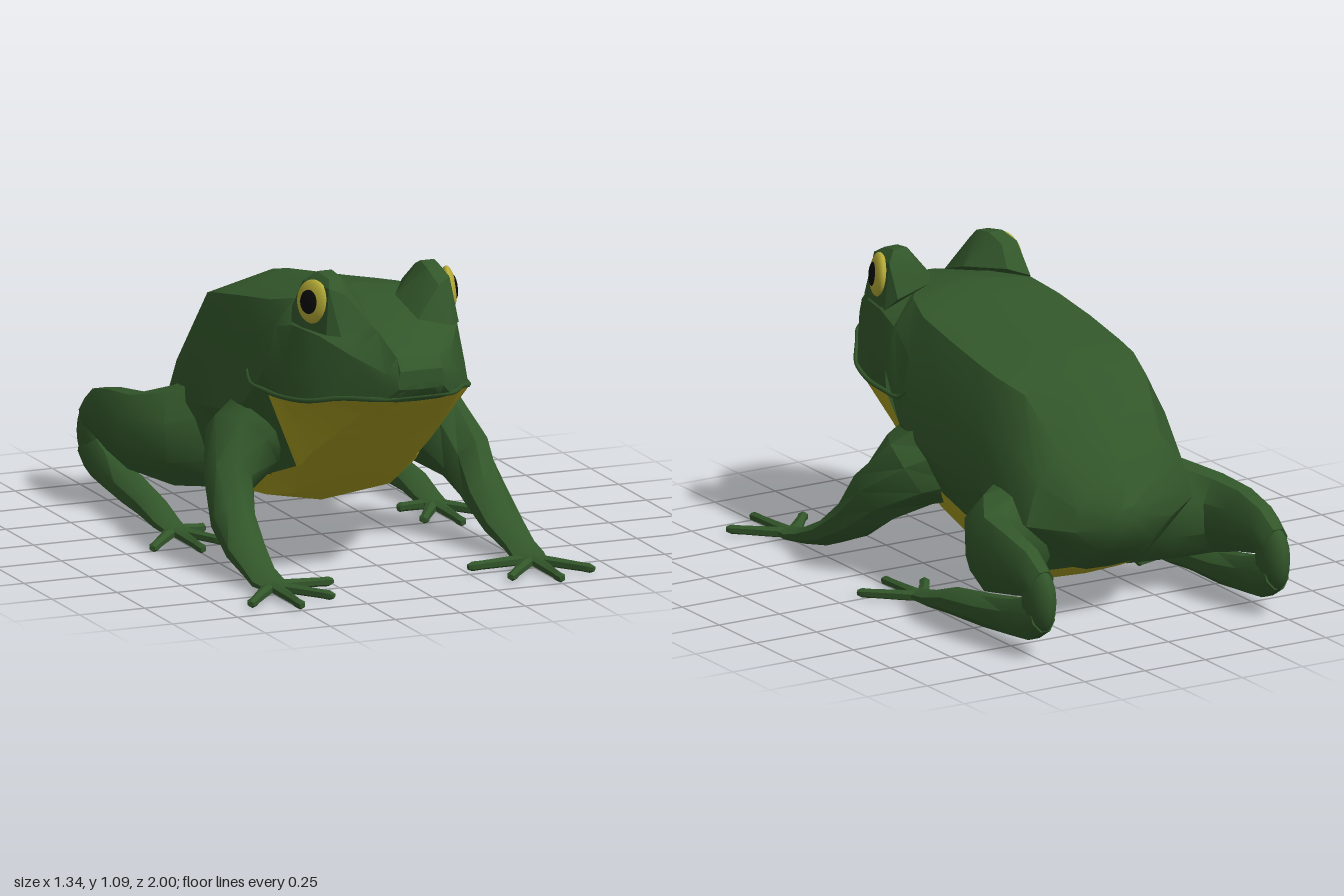
import * as THREE from 'three';
import { toCreasedNormals } from 'three/addons/utils/BufferGeometryUtils.js';
import { ConvexGeometry } from 'three/addons/geometries/ConvexGeometry.js';

const mat = (name, color) => {
  const m = new THREE.MeshStandardMaterial({ color });
  m.name = name;
  return m;
};

// Skin closed rings of points; isSecond(i, j) sends a quad to the second material
function skin(rings, crease, isSecond = () => false) {
  const lists = [[], []];
  const tri = (k, ...pts) => pts.forEach(p => lists[k].push(p.x, p.y, p.z));
  const n = rings[0].length;
  for (let i = 0; i < rings.length - 1; i++) {
    for (let j = 0; j < n; j++) {
      const q = (j + 1) % n, k = isSecond(i, j) ? 1 : 0;
      tri(k, rings[i][j], rings[i][q], rings[i + 1][q]);
      tri(k, rings[i][j], rings[i + 1][q], rings[i + 1][j]);
    }
  }
  for (const end of [0, rings.length - 1]) {
    const r = rings[end];
    const c = r.reduce((a, p) => a.add(p), new THREE.Vector3()).divideScalar(n);
    for (let j = 0; j < n; j++) {
      const q = (j + 1) % n;
      if (end === 0) tri(0, c, r[q], r[j]);
      else tri(0, c, r[j], r[q]);
    }
  }
  const g = new THREE.BufferGeometry();
  g.setAttribute('position', new THREE.Float32BufferAttribute(lists[0].concat(lists[1]), 3));
  g.addGroup(0, lists[0].length / 3, 0);
  if (lists[1].length) g.addGroup(lists[0].length / 3, lists[1].length / 3, 1);
  return toCreasedNormals(g, crease);
}

// Limb along stations [x, y, z, half width, half height]; s mirrors it
function limb(stations, s, sides = 8) {
  const c = stations.map(p => new THREE.Vector3(p[0] * s, p[1], p[2]));
  const up = new THREE.Vector3(0, 1, 0);
  const rings = stations.map((p, i) => {
    const t = c[Math.min(i + 1, c.length - 1)].clone().sub(c[Math.max(i - 1, 0)]).normalize();
    const side = up.clone().cross(t).normalize();
    const nor = t.clone().cross(side);
    return Array.from({ length: sides }, (_, j) => {
      const a = ((j + 0.5) / sides) * Math.PI * 2;
      return c[i].clone().addScaledVector(side, Math.cos(a) * p[3] * 1.05)
        .addScaledVector(nor, Math.sin(a) * p[4] * 1.05);
    });
  });
  return skin(rings, 0.8);
}

// Body section; the back ridge and (unless given) the underside fold follow from the other points
function bodyRing([z, top, ridgeX, sideX, sideY, flankX, flankY, edgeX, edgeY, bottom,
  foldX = edgeX * 0.64, foldY = THREE.MathUtils.lerp(bottom, edgeY, 0.18)]) {
  const ridgeY = THREE.MathUtils.lerp(top, sideY, z > 0.4 ? 0.05 : 0.28);
  const half = [[ridgeX, ridgeY], [sideX, sideY], [flankX, flankY], [edgeX, edgeY], [foldX, foldY]];
  const at = (x, y) => new THREE.Vector3(x, y, z);
  return [at(0, top), ...half.map(([x, y]) => at(x, y)),
    at(0, bottom), ...half.map(([x, y]) => at(-x, y)).reverse()];
}

export function createModel() {
  const model = new THREE.Group();
  model.name = 'frog';
  const green = mat('skin green', 0x32562a);
  const yellow = mat('belly yellow', 0xa89d22);
  const iris = mat('iris yellow', 0xb4aa36);
  const black = mat('pupil black', 0x0a0a0a);
  const add = (parent, name, geo, material) => {
    const m = new THREE.Mesh(geo, material);
    m.name = name;
    parent.add(m);
    return m;
  };

  // Head: snout to jaw corner, then trunk: shoulder to rump
  const head = [
    [.90, .81, .08, .085, .79, .09, .765, .085, .745, .74],
    [.868, .855, .08, .125, .80, .135, .75, .13, .70, .69],
    [.72, .92, .09, .195, .84, .225, .74, .235, .68, .61],
    [.60, .945, .10, .265, .89, .295, .74, .31, .65, .50],
    [.45, .975, .15, .305, .90, .34, .74, .35, .637, .385],
    [.335, 1.0, .24, .32, .87, .355, .72, .352, .635, .29],
  ];
  const trunk = [
    [.325, 1.0, .245, .32, .87, .358, .71, .235, .35, .285, .222, .343],
    [.20, .985, .28, .34, .80, .385, .57, .28, .30, .20],
    [0, .955, .29, .35, .76, .40, .50, .33, .35, .13],
    [-.20, .92, .29, .35, .72, .385, .47, .32, .29, .11],
    [-.30, .905, .285, .345, .69, .37, .45, .28, .145, .10],
    [-.44, .87, .25, .33, .65, .36, .42, .23, .15, .11],
    [-.60, .68, .21, .30, .53, .345, .38, .15, .20, .18],
    [-.70, .53, .13, .20, .45, .20, .36, .12, .29, .26],
    [-.755, .44, .04, .06, .41, .06, .39, .04, .36, .35],
  ];
  const rings = [...head.map(bodyRing), ...trunk.map(bodyRing)];
  add(model, 'body', skin(rings, 0.55, (i, j) => i >= 1 && i < 12 && j >= 4 && j <= 7), [green, yellow]);

  // Upper lip, running around the snout and turning up at the corners
  const lipHalf = [[.36, .68, .18], [.368, .647, .22], [.362, .642, .335], [.352, .645, .45],
    [.31, .658, .60], [.235, .688, .72], [.13, .706, .865], [.07, .708, .872]];
  const lipPts = [...lipHalf, ...lipHalf.map(([x, y, z]) => [-x, y, z]).reverse()];
  const lipCurve = new THREE.CatmullRomCurve3(lipPts.map(p => new THREE.Vector3(...p)), false, 'centripetal');
  add(model, 'upperLip', new THREE.TubeGeometry(lipCurve, 60, 0.009, 5), green);

  const mirrored = (s, pts) => pts.map(p => new THREE.Vector3(p[0] * s, p[1], p[2]));
  for (const s of [1, -1]) {
    const label = s > 0 ? 'left' : 'right';

    // Brow hump that holds the eye
    add(model, label + 'Brow', toCreasedNormals(new ConvexGeometry(mirrored(s, [
      [.17, 1.098, .49], [.225, 1.098, .49], [.165, 1.088, .565], [.215, 1.085, .57],
      [.07, .985, .50], [.09, .93, .66], [.215, .90, .68], [.255, .90, .64],
      [.30, .90, .43], [.265, 1.06, .455], [.232, 1.06, .61], [.18, 1.04, .635],
      [.16, 1.0, .35], [.18, 1.07, .42], [.275, .95, .38],
    ])), 0.4), green);

    // Eye: domed iris and pupil, turned slightly forward
    const eye = new THREE.Group();
    eye.name = label + 'Eye';
    eye.position.set(s * .258, 1.0, .535);
    eye.rotation.set(0, -s * .33, s * .12);
    const dome = (name, r, thick, x, material) => {
      const m = add(eye, name, new THREE.SphereGeometry(r, 20, 14), material);
      m.scale.x = thick / r;
      m.position.x = s * x;
    };
    dome('iris', .079, .027, .003, iris);
    dome('pupil', .044, .012, .023, black);
    model.add(eye);

    // Front leg
    add(model, label + 'FrontLeg', limb([
      [.26, .44, .13, .17, .17], [.37, .40, .145, .145, .14], [.455, .295, .23, .088, .105],
      [.485, .18, .34, .078, .072], [.495, .10, .48, .072, .047], [.50, .055, .61, .058, .03],
      [.50, .035, .69, .062, .022], [.50, .03, .76, .045, .016],
    ], s), green);

    // Hind leg: thigh reaching back, round knee, shank folded forward under the thigh
    add(model, label + 'Thigh', limb([
      [.22, .32, -.40, .14, .21], [.37, .295, -.46, .135, .175], [.465, .295, -.58, .09, .14],
      [.485, .305, -.73, .07, .115], [.485, .30, -.85, .062, .09], [.485, .27, -.93, .048, .065],
    ], s), green);
    const knee = add(model, label + 'Knee', new THREE.SphereGeometry(1, 12, 10), green);
    knee.scale.set(.054, .125, .085);
    knee.position.set(s * .485, .215, -.915);
    add(model, label + 'Shank', limb([
      [.485, .165, -.94, .048, .06], [.485, .135, -.86, .058, .078], [.487, .115, -.76, .06, .067],
      [.49, .09, -.58, .062, .058], [.50, .07, -.36, .056, .046], [.50, .04, -.22, .05, .028],
      [.50, .03, -.12, .042, .016],
    ], s), green);

    // Toes: each from the palm to a slightly swollen tip
    const foot = (name, pz, tips) => tips.forEach(([x, z], n) => {
      const at = (f, w, h) => [.5 + (x - .5) * f, .032 - .010 * f, pz + (z - pz) * f, w, h];
      add(model, label + name + (n + 1), limb([
        at(0, .028, .018), at(.35, .022, .018), at(.8, .016, .016), at(.93, .019, .017), at(1, .011, .01),
      ], s, 6), green);
    });
    foot('FrontToe', .72, [[.66, .91], [.50, 1.0], [.34, .91], [.26, .71]]);
    foot('HindToe', -.16, [[.66, .025], [.50, .11], [.385, .02], [.37, -.185]]);
  }
  return model;
}
